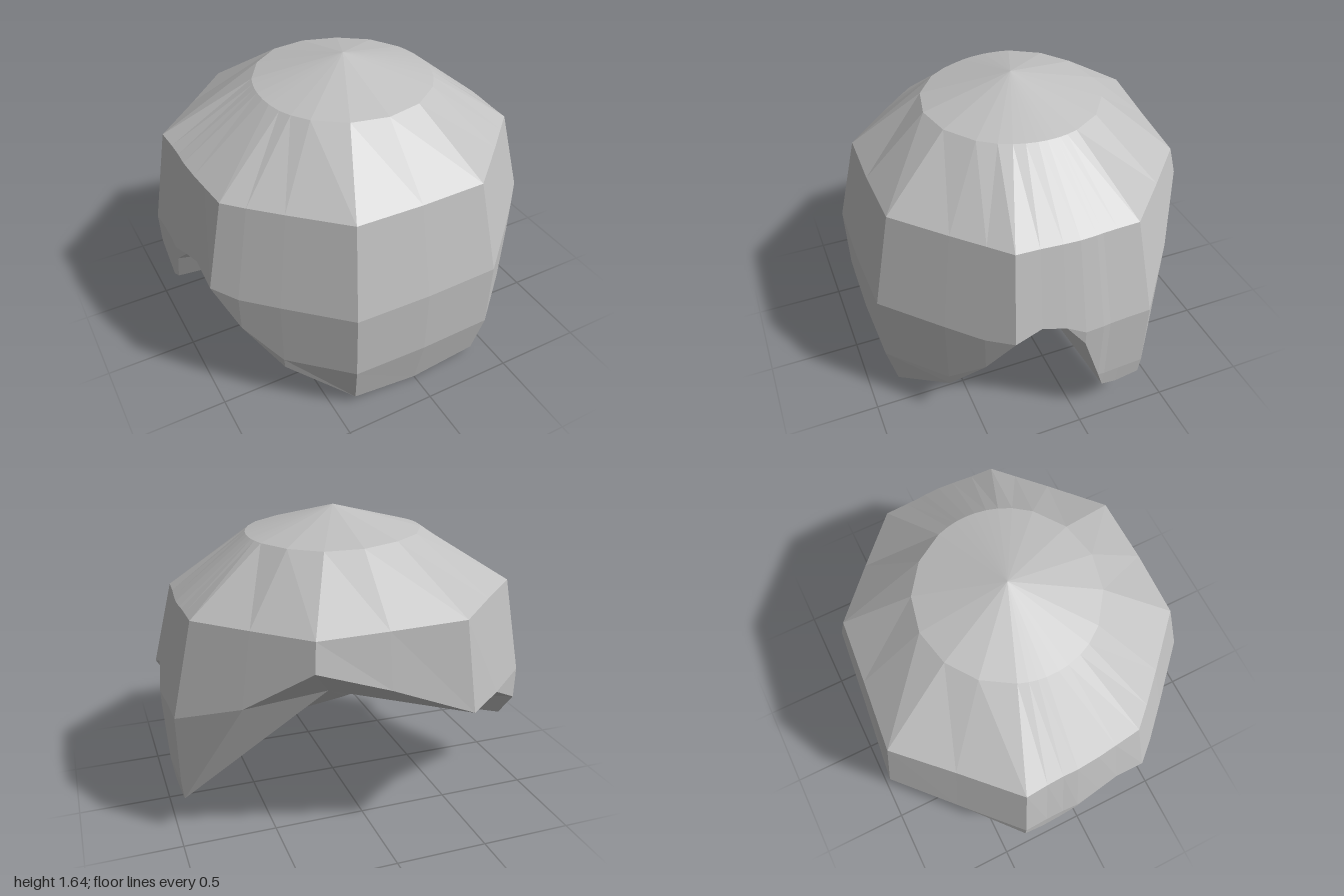
import * as THREE from 'three';

// Columns around the shell, from the front towards +x: [x, z, height of the rim]
const COLUMNS = [
  [0, 0.92, 0], [0.41, 0.91, 0.05], [0.7, 0.64, 0.24], [0.86, 0.485, 0.48],          // face guard
  [0.98, 0.37, 0.71], [0.985, 0.23, 0.76], [0.995, 0.1, 0.73], [1, 0, 0.6],           // ear arch
  [0.995, -0.1, 0.31], [0.99, -0.14, 0.2], [0.985, -0.23, 0.18], [0.98, -0.37, 0.2],  // ear flap
  [0.7, -0.64, 0.8], [0.41, -0.91, 1.03], [0, -0.93, 0.91], [-0.43, -0.95, 0.75],     // nape
  [-0.71, -0.665, 0.7], [-1, -0.38, 0.5], [-0.995, -0.25, 0.34], [-0.995, -0.15, 0.4], // ear flap
  [-1, -0.06, 0.6], [-0.995, 0.08, 0.73], [-0.985, 0.2, 0.76], [-0.97, 0.37, 0.71],   // ear arch
  [-0.86, 0.485, 0.48], [-0.7, 0.64, 0.24], [-0.41, 0.91, 0.05],                      // face guard
];

// Width of the shell by height, relative to the column outline
const WIDTHS = [[0, 0.91], [0.05, 0.925], [0.18, 0.975], [0.3, 0.99], [0.68, 1], [1.18, 0.88]];

function widthAt(y) {
  for (let i = 1; i < WIDTHS.length; i++) {
    const [y0, w0] = WIDTHS[i - 1], [y1, w1] = WIDTHS[i];
    if (y <= y1) return w0 + (w1 - w0) * (y - y0) / (y1 - y0);
  }
  return 0.88;
}

// All points of one column, from the crown ring down to the rim
function columnPoints([x, z, rim]) {
  const bulge = THREE.MathUtils.clamp((-x - z - 0.6) / 0.78, 0, 1); // fuller back corner
  const r = 0.48 / Math.hypot(x, z);
  const w = 0.88 + 0.03 * bulge;
  const points = [
    new THREE.Vector3(x * r, 1.5 + 0.02 * bulge, z * r),
    new THREE.Vector3(x * w, 1.18 + 0.04 * bulge, z * w),
  ];
  for (const level of [0.68, 0.3, rim]) {
    const y = Math.max(level, rim);
    points.push(new THREE.Vector3(x * widthAt(y), y, z * widthAt(y)));
  }
  return points;
}

function meshFrom(triangles, name, material) {
  const positions = [];
  for (const [a, b, c] of triangles) {
    if (a.equals(b) || b.equals(c) || c.equals(a)) continue;
    for (const p of [a, b, c]) positions.push(p.x, p.y, p.z);
  }
  const geometry = new THREE.BufferGeometry();
  geometry.setAttribute('position', new THREE.Float32BufferAttribute(positions, 3));
  geometry.computeVertexNormals();
  const mesh = new THREE.Mesh(geometry, material);
  mesh.name = name;
  return mesh;
}

export function createModel() {
  const group = new THREE.Group();
  group.name = 'helmet';
  const grey = new THREE.MeshStandardMaterial({ color: 0xc0c0c0 });
  grey.name = 'grey';
  grey.flatShading = true;

  const apex = new THREE.Vector3(0, 1.64, 0);
  const hollow = new THREE.Vector3(0, 0.49, 0.08);
  const columns = COLUMNS.map(columnPoints);
  const crown = [], shell = [], underside = [];

  columns.forEach((left, i) => {
    const right = columns[(i + 1) % columns.length];
    const last = left.length - 1;
    crown.push([apex, left[0], right[0]]);
    for (let j = 0; j < last; j++) {
      shell.push([left[j], left[j + 1], right[j + 1]], [left[j], right[j + 1], right[j]]);
    }
    // the inside closes to one point
    underside.push([right[last], left[last], hollow]);
  });

  group.add(
    meshFrom(crown, 'crown', grey),
    meshFrom(shell, 'shell', grey),
    meshFrom(underside, 'underside', grey),
  );
  return group;
}
